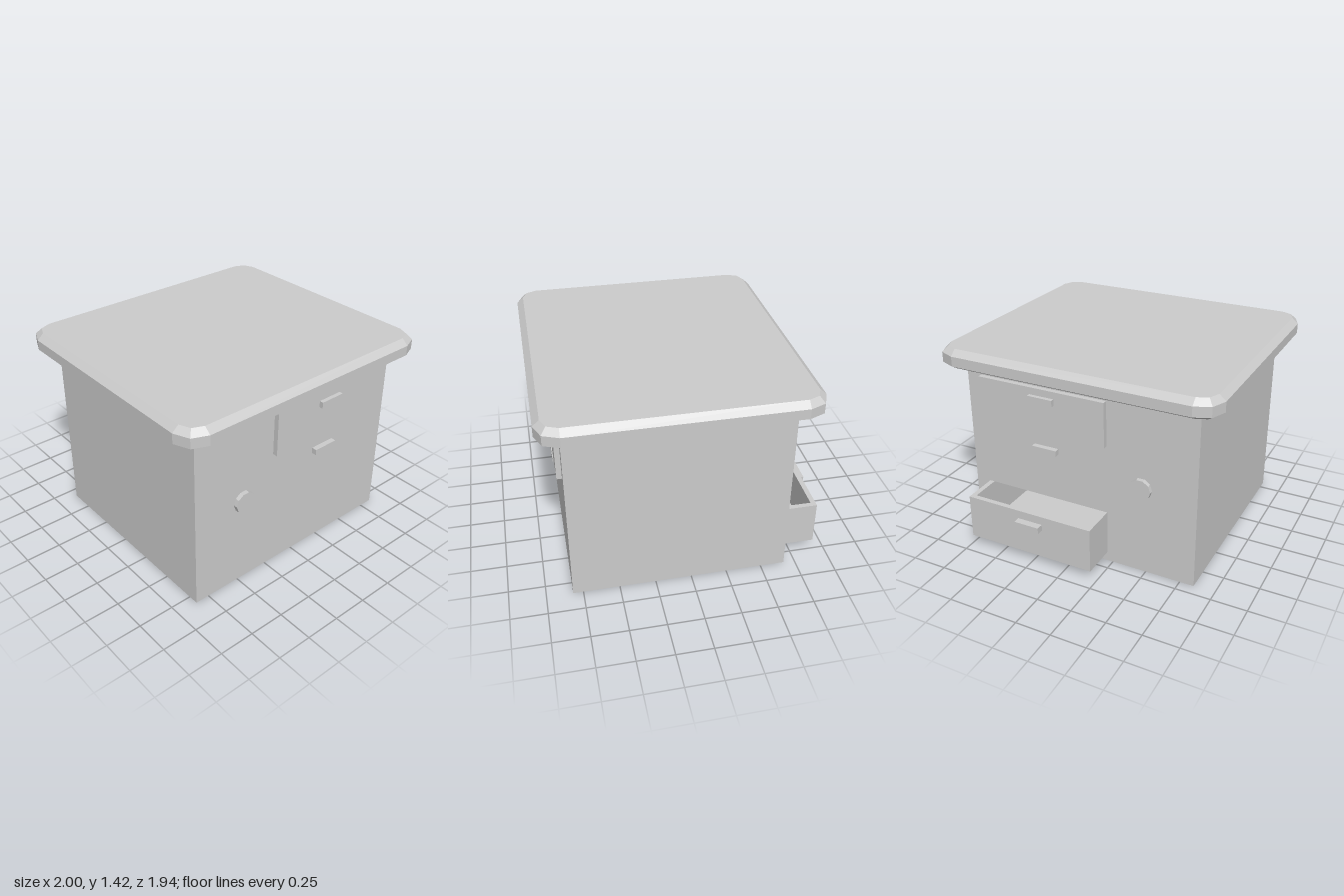
import * as THREE from 'three';

const material = new THREE.MeshStandardMaterial({ color: 0xcccccc, flatShading: true });
const BACK = -0.67, FRONT = 0.82;               // body faces
const DRAWER = { x0: -0.21, x1: 0.74, y0: 0.07, y1: 0.39 };

function add(parent, name, geometry, x = 0, y = 0, z = 0) {
  const mesh = new THREE.Mesh(geometry, material);
  mesh.name = name;
  mesh.position.set(x, y, z);
  parent.add(mesh);
  return mesh;
}

// Box given by its limits on each axis
function addBox(parent, name, x0, x1, y0, y1, z0, z1) {
  return add(parent, name, new THREE.BoxGeometry(x1 - x0, y1 - y0, z1 - z0),
    (x0 + x1) / 2, (y0 + y1) / 2, (z0 + z1) / 2);
}

function rectangle(Type, x0, x1, y0, y1) {
  const p = new Type();
  p.moveTo(x0, y0);
  p.lineTo(x1, y0);
  p.lineTo(x1, y1);
  p.lineTo(x0, y1);
  p.closePath();
  return p;
}

// Rounded-corner slab lofted through inset outlines
function tabletopGeometry() {
  const levels = [[1.28, 0.05], [1.31, 0], [1.38, 0], [1.42, 0.045]];
  const corners = [[1, 1], [-1, 1], [-1, -1], [1, -1]];
  const positions = [], index = [];
  for (const [y, inset] of levels) {
    corners.forEach(([sx, sz], c) => {
      for (let k = 0; k <= 2; k++) {
        const a = (c + k / 2) * Math.PI / 2, r = 0.15 - inset;
        positions.push(sx * 0.85 + r * Math.cos(a), y, 0.07 + sz * 0.75 + r * Math.sin(a));
      }
    });
  }
  const n = 12, top = n * (levels.length - 1);
  for (let l = 0; l < levels.length - 1; l++) {
    for (let i = 0; i < n; i++) {
      const a = l * n + i, b = l * n + (i + 1) % n;
      index.push(a, a + n, b, b, a + n, b + n);
    }
  }
  for (let i = 1; i < n - 1; i++) {
    index.push(0, i, i + 1, top, top + i + 1, top + i);
  }
  const geometry = new THREE.BufferGeometry();
  geometry.setAttribute('position', new THREE.Float32BufferAttribute(positions, 3));
  geometry.setIndex(index);
  const flat = geometry.toNonIndexed();
  flat.computeVertexNormals();
  return flat;
}

// Panel, handles and knob on one face; dir is +1 for front, -1 for back
function addFittings(parent, name, z, dir) {
  const side = new THREE.Group();
  side.name = name;
  side.position.z = z;
  parent.add(side);
  const slab = (part, x0, x1, y0, y1, from, to) =>
    addBox(side, part, x0, x1, y0, y1, Math.min(from * dir, to * dir), Math.max(from * dir, to * dir));
  slab('upperDrawerPanel', DRAWER.x0, DRAWER.x1, 0.895, 1.215, -0.01, 0.035);
  slab('upperHandle', 0.155, 0.34, 1.12, 1.165, 0.035, 0.063);
  slab('middleHandle', 0.155, 0.34, 0.745, 0.785, -0.01, 0.037);
  const knob = new THREE.CylinderGeometry(0.077, 0.077, 0.04, 10, 1, false, Math.PI / 2);
  knob.rotateX(Math.PI / 2);
  add(side, 'doorKnob', knob, -0.46, 0.645, dir * 0.01);
}

// Deep open-topped drawer pulled out at the back
function addOpenDrawer(parent) {
  const { x0, x1, y0, y1 } = DRAWER, wall = 0.035, zBack = -0.92, zFront = 0.5;
  const drawer = new THREE.Group();
  drawer.name = 'openDrawer';
  parent.add(drawer);
  // Plan outline in x and -z, extruded upwards
  const plan = rectangle(THREE.Shape, x0, x1, -zFront, -zBack);
  plan.holes.push(rectangle(THREE.Path, x0 + wall, x1 - wall, -zFront + wall, -zBack - wall));
  const walls = new THREE.ExtrudeGeometry(plan, { depth: y1 - y0, bevelEnabled: false });
  walls.rotateX(-Math.PI / 2);
  add(drawer, 'drawerWalls', walls, 0, y0, 0);
  addBox(drawer, 'drawerFloor', x0 + wall, x1 - wall, y0, y0 + 0.03, zBack + wall, zFront - wall);
  addBox(drawer, 'drawerHandle', 0.155, 0.34, 0.285, 0.33, -0.97, zBack);
}

export function createModel() {
  const model = new THREE.Group();
  model.name = 'cabinet';

  // Body with a bay for the drawer, closed at the front
  const outline = rectangle(THREE.Shape, -0.85, 0.85, 0, 1.29);
  outline.holes.push(rectangle(THREE.Path, DRAWER.x0, DRAWER.x1, DRAWER.y0, DRAWER.y1));
  const bayFront = 0.5;
  add(model, 'body', new THREE.ExtrudeGeometry(outline, { depth: bayFront - BACK, bevelEnabled: false }), 0, 0, BACK);
  addBox(model, 'bodyFront', -0.85, 0.85, 0, 1.29, bayFront, FRONT);

  add(model, 'tabletop', tabletopGeometry());
  addFittings(model, 'frontFittings', FRONT, 1);
  addFittings(model, 'backFittings', BACK, -1);
  addOpenDrawer(model);
  return model;
}
